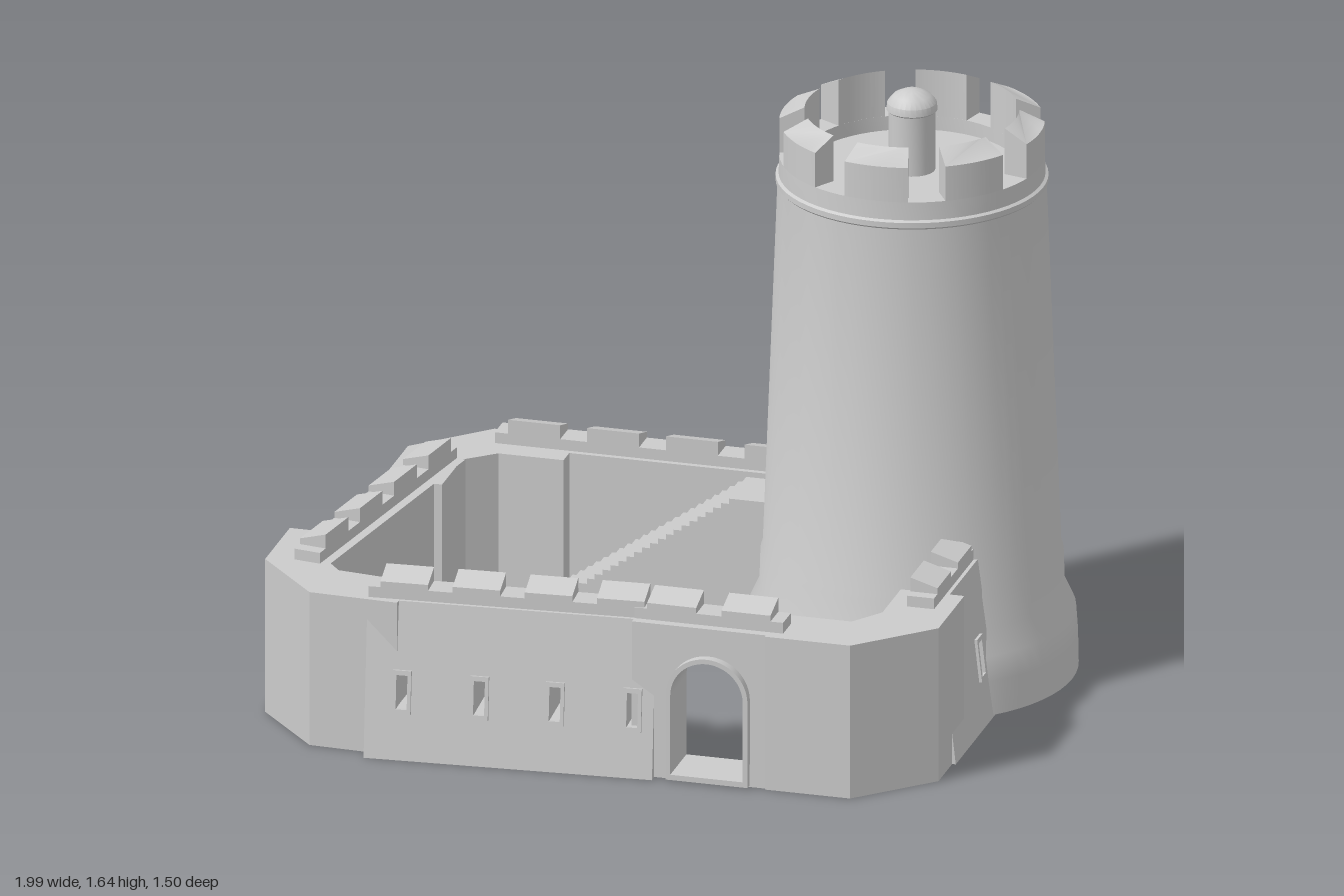
import * as THREE from 'three';
import { toCreasedNormals } from 'three/addons/utils/BufferGeometryUtils.js';

const mat = new THREE.MeshStandardMaterial({ color: 0xcccccc, side: THREE.DoubleSide });
const WALL_H = 0.435;

function add(parent, name, geometry) {
  const mesh = new THREE.Mesh(toCreasedNormals(geometry, 0.6), mat);
  mesh.name = name;
  parent.add(mesh);
  return mesh;
}

// Drop the faces resting on the ground, leaving a hollow underside
function openBottom(geometry) {
  const p = (geometry.index ? geometry.toNonIndexed() : geometry).attributes.position;
  const kept = [];
  for (let i = 0; i < p.count; i += 3) {
    if (Math.max(p.getY(i), p.getY(i + 1), p.getY(i + 2)) < 0.005) continue;
    for (let j = i; j < i + 3; j++) kept.push(p.getX(j), p.getY(j), p.getZ(j));
  }
  const g = new THREE.BufferGeometry();
  g.setAttribute('position', new THREE.Float32BufferAttribute(kept, 3));
  return g;
}

function extrude(shape, depth) {
  return new THREE.ExtrudeGeometry(shape, { depth, bevelEnabled: false, curveSegments: 14 });
}

function rectangle(x0, y0, x1, y1, Type = THREE.Shape) {
  return new Type([[x0, y0], [x1, y0], [x1, y1], [x0, y1]].map(([x, y]) => new THREE.Vector2(x, y)));
}

// Round-headed opening
function arch(cx, y0, half, spring, Type = THREE.Shape) {
  const s = new Type();
  s.moveTo(cx - half, y0);
  s.lineTo(cx + half, y0);
  s.lineTo(cx + half, spring);
  s.absarc(cx, spring, half, 0, Math.PI, false);
  s.lineTo(cx - half, y0);
  return s;
}

// Straight wall; a and b are [x, z] ends of the outer top edge, outside on the right of a -> b
function wall(parent, name, a, b, { thick = 0.11, batter = 0.05, slits = [], merlons = 4, gate = null, setBack = 0.01 }) {
  const dx = b[0] - a[0], dz = b[1] - a[1], len = Math.hypot(dx, dz);
  const group = new THREE.Group();
  group.name = name;
  group.position.set(a[0], 0, a[1]);
  group.rotation.y = Math.atan2(-dz, dx);
  parent.add(group);

  const shape = rectangle(0, 0, len, WALL_H);
  slits.forEach(x => shape.holes.push(rectangle(x - 0.015, 0.14, x + 0.015, 0.235, THREE.Path)));
  if (gate !== null) shape.holes.push(arch(gate, 0.02, 0.1, 0.245, THREE.Path));
  const body = extrude(shape, thick).translate(0, 0, -thick);
  const p = body.attributes.position;
  for (let i = 0; i < p.count; i++) {
    if (p.getZ(i) > -0.001) p.setZ(i, batter * (1 - p.getY(i) / WALL_H));
  }
  add(group, 'wallBody', openBottom(body));

  // Slit surrounds follow the slope of the wall face
  slits.forEach(x => {
    const s = rectangle(-0.025, -0.06, 0.025, 0.06);
    s.holes.push(rectangle(-0.015, -0.047, 0.015, 0.047, THREE.Path));
    const frame = add(group, 'slitFrame', extrude(s, 0.014).translate(0, 0, -0.006));
    frame.position.set(x, 0.1875, batter * (1 - 0.1875 / WALL_H));
    frame.rotation.x = -Math.atan2(batter, WALL_H);
  });
  if (gate !== null) {
    const s = arch(gate, 0.005, 0.113, 0.245);
    s.holes.push(arch(gate, 0.02, 0.1, 0.245, THREE.Path));
    add(group, 'gateFrame', extrude(s, 0.03).translate(0, 0, -0.005));
  }

  // Parapet with merlons whose tops fall outward
  const depth = 0.075;
  add(group, 'parapet', new THREE.BoxGeometry(len, 0.035, depth).translate(len / 2, 0.448, -setBack - depth / 2));
  const pitch = len / merlons;
  const profile = new THREE.Shape([[0, 0.46], [depth, 0.46], [depth, 0.505], [0, 0.482]].map(q => new THREE.Vector2(...q)));
  for (let i = 0; i < merlons; i++) {
    const w = pitch * 0.66;
    // profile x becomes inward depth, extrusion runs along the wall
    const g = extrude(profile, w).rotateY(Math.PI / 2).translate((i + 0.17) * pitch, 0, -setBack);
    add(group, 'merlon', g);
  }
}

// Chamfered corner block from a plan outline of [x, z] points
function corner(parent, name, plan) {
  const shape = new THREE.Shape(plan.map(([x, z]) => new THREE.Vector2(x, -z)));
  add(parent, name, openBottom(extrude(shape, WALL_H).rotateX(-Math.PI / 2)));
}

function tower() {
  const group = new THREE.Group();
  group.name = 'tower';
  group.position.set(0.55, 0, -0.312);
  const profile = [
    [0.442, 0.005], [0.44, 0.1], [0.435, 0.17], [0.405, 0.235], [0.402, 0.33], [0.396, 0.345],
    [0.357, 1.375], [0.362, 1.38], [0.362, 1.395], [0.354, 1.4], [0.352, 1.45],
    [0.285, 1.45], [0.285, 1.41], [0, 1.41],
  ].map(q => new THREE.Vector2(...q));
  add(group, 'towerBody', new THREE.LatheGeometry(profile, 64));

  // Ring of merlons, higher on the inside
  const half = 0.25, ri = 0.285, ro = 0.352;
  for (let i = 0; i < 8; i++) {
    const mid = i * Math.PI / 4;
    const s = new THREE.Shape();
    s.absarc(0, 0, ro, mid - half, mid + half, false);
    s.absarc(0, 0, ri, mid + half, mid - half, true);
    const g = extrude(s, 0.13).rotateX(-Math.PI / 2).translate(0, 1.45, 0);
    const p = g.attributes.position;
    for (let j = 0; j < p.count; j++) {
      if (p.getY(j) > 1.5 && Math.hypot(p.getX(j), p.getZ(j)) > 0.32) p.setY(j, 1.548);
    }
    add(group, 'towerMerlon', g);
  }

  // Domed post in the middle of the roof
  const post = [[0.062, 1.41], [0.062, 1.575], [0.068, 1.58], [0.066, 1.6], [0.05, 1.62], [0.026, 1.632], [0, 1.637]];
  add(group, 'roofPost', new THREE.LatheGeometry(post.map(q => new THREE.Vector2(...q)), 28));
  return group;
}

// Narrow steps rising along the back wall to the tower
function stairs(parent) {
  const n = 28, x0 = -0.54, x1 = 0.07, top = 0.42;
  const s = new THREE.Shape();
  s.moveTo(x0, 0);
  for (let i = 0; i < n; i++) {
    const y = top * (i + 1) / n;
    s.lineTo(x0 + (x1 - x0) * i / n, y);
    s.lineTo(x0 + (x1 - x0) * (i + 1) / n, y);
  }
  s.lineTo(0.2, top);
  s.lineTo(0.2, 0);
  add(parent, 'stairs', openBottom(extrude(s, 0.17).translate(0, 0, -0.47)));
}

export function createModel() {
  const model = new THREE.Group();
  model.name = 'castle';
  model.add(tower());

  wall(model, 'frontWall', [-0.66, 0.7], [0.12, 0.645], { slits: [0.1, 0.31, 0.515, 0.725] });
  wall(model, 'gateWall', [0.06, 0.667], [0.47, 0.667], { thick: 0.13, batter: 0.003, merlons: 2, gate: 0.213, setBack: 0.025 });
  wall(model, 'rightWall', [0.815, 0.36], [0.815, -0.03], { thick: 0.095, slits: [0.3], merlons: 2 });
  wall(model, 'backWall', [0.22, -0.565], [-0.65, -0.565], { thick: 0.1, batter: 0.006 });
  wall(model, 'leftWall', [-0.8, -0.36], [-0.935, 0.48], { slits: [0.31, 0.52], batter: 0.055 });

  corner(model, 'frontRightCorner', [[0.43, 0.677], [0.665, 0.677], [0.855, 0.49], [0.855, 0.245],
    [0.68, 0.245], [0.68, 0.42], [0.62, 0.507], [0.43, 0.507]]);
  corner(model, 'frontLeftCorner', [[-1, 0.265], [-1, 0.5], [-0.82, 0.7], [-0.575, 0.71],
    [-0.575, 0.55], [-0.79, 0.525], [-0.86, 0.44], [-0.86, 0.265]]);
  corner(model, 'backLeftCorner', [[-0.865, -0.15], [-0.865, -0.395], [-0.68, -0.58], [-0.44, -0.58],
    [-0.44, -0.41], [-0.62, -0.41], [-0.7, -0.34], [-0.7, -0.15]]);

  stairs(model);
  return model;
}
